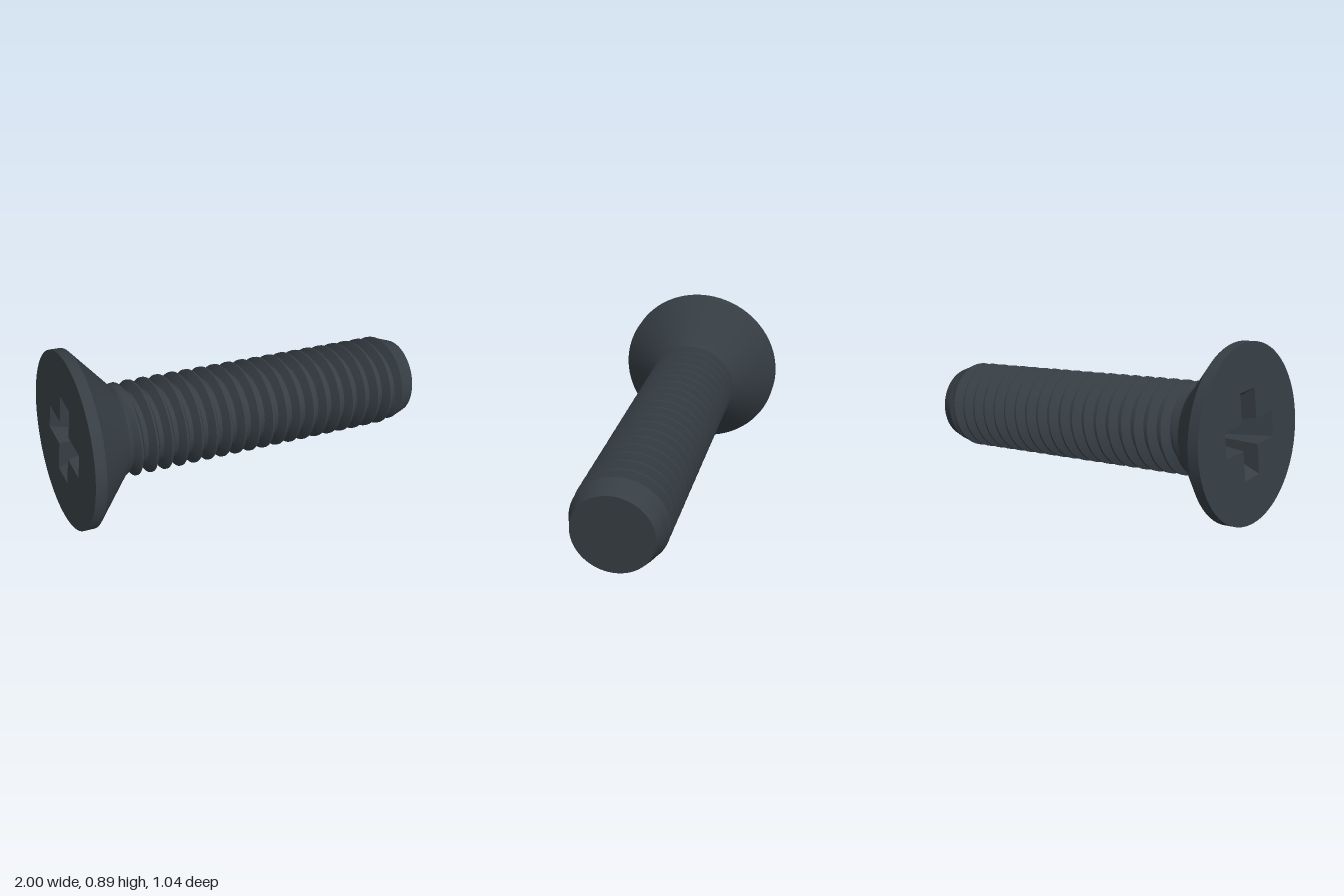
import * as THREE from 'three';
import { toCreasedNormals } from 'three/addons/utils/BufferGeometryUtils.js';

const HEAD_R = 0.443, RIM = 0.055, NECK = 0.25, LENGTH = 1.9;
const CREST = 0.237, ROOT = 0.19, TIP_R = 0.2, PITCH = 0.0793, PHASE = 0.459;

// Plus-shaped outline, counter-clockwise
function crossOutline(len, w) {
  const points = [];
  for (let q = 0; q < 4; q++) {
    const turn = q * Math.PI / 2;
    for (const [x, y] of [[len, -w], [len, w], [w, w]]) {
      points.push(new THREE.Vector2(x, y).rotateAround(new THREE.Vector2(), turn));
    }
  }
  return points;
}

// Tapered walls running inward from one outline down to another
function recessWalls(top, bottom, depth) {
  const pos = [];
  top.forEach((t, i) => {
    const j = (i + 1) % top.length;
    const ti = [t.x, t.y, 0], tj = [top[j].x, top[j].y, 0];
    const bi = [bottom[i].x, bottom[i].y, -depth], bj = [bottom[j].x, bottom[j].y, -depth];
    pos.push(...ti, ...tj, ...bj, ...ti, ...bj, ...bi);
  });
  const geo = new THREE.BufferGeometry();
  geo.setAttribute('position', new THREE.Float32BufferAttribute(pos, 3));
  geo.computeVertexNormals();
  return geo;
}

// Radius of the threaded shank at distance s along the axis and angle a
function shankRadius(s, a) {
  const turn = s / PITCH - a / (2 * Math.PI) - PHASE;
  const fromCrest = Math.abs(turn - Math.round(turn));
  const drop = THREE.MathUtils.clamp((fromCrest - 0.06) / 0.29, 0, 1);
  const thread = CREST - (CREST - ROOT) * drop;
  const start = THREE.MathUtils.smoothstep(s, NECK, NECK + 0.06);
  const end = THREE.MathUtils.smoothstep(s, 1.78, 1.83);
  const plain = THREE.MathUtils.mapLinear(Math.max(s, 1.79), 1.79, LENGTH, CREST, TIP_R);
  return THREE.MathUtils.lerp(THREE.MathUtils.lerp(0.233, thread, start), plain, end);
}

// Right-hand helical thread, with mesh lines following the helix
function threadGeometry(sides = 72) {
  const pos = [], index = [];
  const columns = [];
  for (let k = 1; k <= 25; k++) for (const f of [0.06, 0.35, 0.65, 0.94]) columns.push(k + f);
  for (let i = 0; i <= sides; i++) {
    const a = i / sides * Math.PI * 2;
    for (const c of columns) {
      const s = THREE.MathUtils.clamp((c + i / sides + PHASE) * PITCH, NECK, LENGTH);
      const r = shankRadius(s, a);
      pos.push(r * Math.sin(a), s, r * Math.cos(a));
    }
  }
  const n = columns.length;
  for (let i = 0; i < sides; i++) {
    for (let j = 0; j < n - 1; j++) {
      const a = i * n + j, b = a + n;
      // Skip strips squeezed flat at the two ends
      const y = (v) => pos[v * 3 + 1];
      if (y(a) === y(a + 1) && y(b) === y(b + 1)) continue;
      index.push(a, b, b + 1, a, b + 1, a + 1);
    }
  }
  const geo = new THREE.BufferGeometry();
  geo.setAttribute('position', new THREE.Float32BufferAttribute(pos, 3));
  geo.setIndex(index);
  return toCreasedNormals(geo, 0.6);
}

export function createModel() {
  const model = new THREE.Group();
  model.name = 'countersunkScrew';
  const steel = new THREE.MeshStandardMaterial({ color: 0x363e44 });
  steel.name = 'blackened steel';

  const screw = new THREE.Group();
  screw.name = 'screw';
  model.add(screw);
  const add = (name, geo) => {
    const mesh = new THREE.Mesh(geo, steel);
    mesh.name = name;
    screw.add(mesh);
  };

  // Conical head with a short straight rim
  const profile = [[HEAD_R, 0], [HEAD_R, RIM], [0.245, NECK - 0.012], [0.233, NECK + 0.002]]
    .map(([r, s]) => new THREE.Vector2(r, s));
  add('head', toCreasedNormals(new THREE.LatheGeometry(profile, 96), 0.5));

  // Flat head face, cut by the cross recess
  const outline = crossOutline(0.215, 0.065), floor = crossOutline(0.1, 0.045), depth = 0.2;
  const face = new THREE.Shape().absarc(0, 0, HEAD_R, 0, Math.PI * 2);
  face.holes.push(new THREE.Path(outline));
  add('headFace', new THREE.ShapeGeometry(face, 48).rotateX(Math.PI / 2));
  add('recessWalls', recessWalls(outline, floor, depth).rotateX(Math.PI / 2));
  add('recessFloor', new THREE.ShapeGeometry(new THREE.Shape(floor))
    .translate(0, 0, -depth).rotateX(Math.PI / 2));

  // Threaded shank and flat tip
  add('threadedShank', threadGeometry());
  add('tip', new THREE.CircleGeometry(TIP_R, 72).rotateX(-Math.PI / 2).translate(0, LENGTH, 0));

  // Lay the screw along its tilted axis, recess arms upright
  const axis = new THREE.Vector3(0.971, -0.113, 0.212).normalize();
  const up = new THREE.Vector3(0, 1, 0).addScaledVector(axis, -axis.y).normalize();
  const side = new THREE.Vector3().crossVectors(up, axis);
  screw.quaternion.setFromRotationMatrix(new THREE.Matrix4().makeBasis(up, axis, side));
  screw.position.set(-0.894, 0.447, -0.092);
  return model;
}
